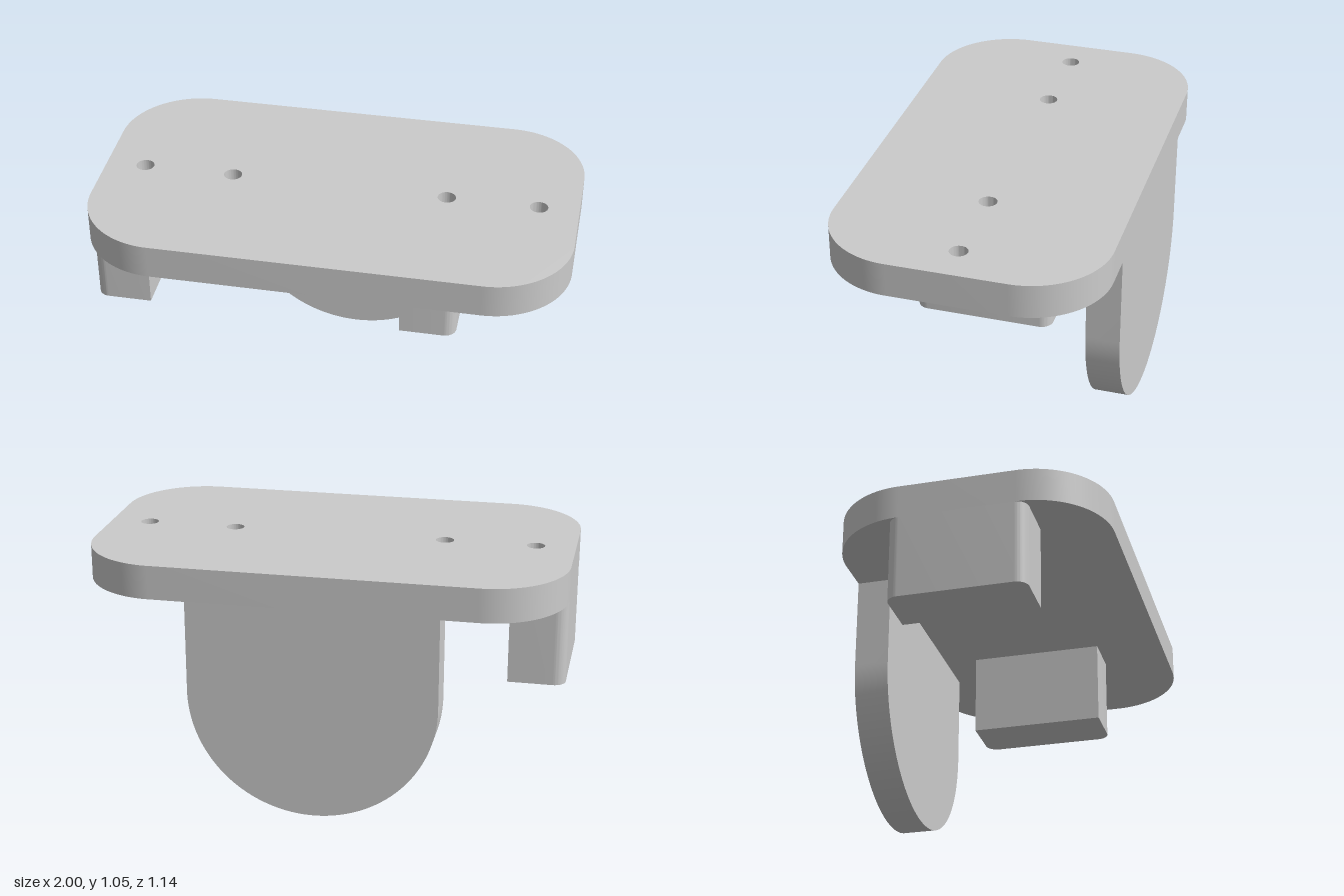
import * as THREE from 'three';
import { toCreasedNormals } from 'three/addons/utils/BufferGeometryUtils.js';

const material = new THREE.MeshStandardMaterial({ color: 0xcccccc });
const PLATE_BOTTOM = 0.907, THICK = 0.143, HALF_DEPTH = 0.571;

// Rectangle outline with separate corner radii on its left and right ends.
function roundedRect(x0, x1, halfH, rLeft, rRight) {
  const s = new THREE.Shape();
  s.moveTo(x0 + rLeft, -halfH);
  s.lineTo(x1 - rRight, -halfH);
  if (rRight) s.absarc(x1 - rRight, -halfH + rRight, rRight, -Math.PI / 2, 0);
  s.lineTo(x1, halfH - rRight);
  if (rRight) s.absarc(x1 - rRight, halfH - rRight, rRight, 0, Math.PI / 2);
  s.lineTo(x0 + rLeft, halfH);
  if (rLeft) s.absarc(x0 + rLeft, halfH - rLeft, rLeft, Math.PI / 2, Math.PI);
  s.lineTo(x0, -halfH + rLeft);
  if (rLeft) s.absarc(x0 + rLeft, -halfH + rLeft, rLeft, Math.PI, Math.PI * 1.5);
  return s;
}

function extrude(shape, depth, curveSegments) {
  return new THREE.ExtrudeGeometry(shape, { depth, bevelEnabled: false, curveSegments });
}

function part(name, geometry) {
  const mesh = new THREE.Mesh(toCreasedNormals(geometry, 0.5), material);
  mesh.name = name;
  return mesh;
}

export function createModel() {
  const group = new THREE.Group();
  group.name = 'mountingBracket';

  // Top plate with four through holes
  const plate = roundedRect(-1, 1, HALF_DEPTH, 0.33, 0.33);
  for (const x of [-0.834, -0.453, 0.453, 0.834]) {
    const hole = new THREE.Path();
    hole.absarc(x, 0, 0.038, 0, Math.PI * 2, true);
    plate.holes.push(hole);
  }
  group.add(part('topPlate',
    extrude(plate, THICK, 24).rotateX(-Math.PI / 2).translate(0, PLATE_BOTTOM, 0)));

  // Round-ended tongue hanging flush with the back of the plate
  const r = 0.521;
  const tongue = new THREE.Shape();
  tongue.moveTo(r, PLATE_BOTTOM);
  tongue.lineTo(-r, PLATE_BOTTOM);
  tongue.lineTo(-r, r);
  tongue.absarc(0, r, r, Math.PI, Math.PI * 2);
  tongue.lineTo(r, PLATE_BOTTOM);
  group.add(part('backTongue', extrude(tongue, THICK, 48).translate(0, 0, -HALF_DEPTH)));

  // Two blocks under the plate, rounded only on their outward vertical edges
  const blockHeight = 0.357;
  const blocks = [
    ['rightBlock', -1, -0.764, 0.05, 0],
    ['leftBlock', 0.309, 0.545, 0, 0.05],
  ];
  for (const [name, x0, x1, rLeft, rRight] of blocks) {
    const geometry = extrude(roundedRect(x0, x1, 0.286, rLeft, rRight), blockHeight, 10);
    group.add(part(name,
      geometry.rotateX(-Math.PI / 2).translate(0, PLATE_BOTTOM - blockHeight, 0)));
  }

  return group;
}
